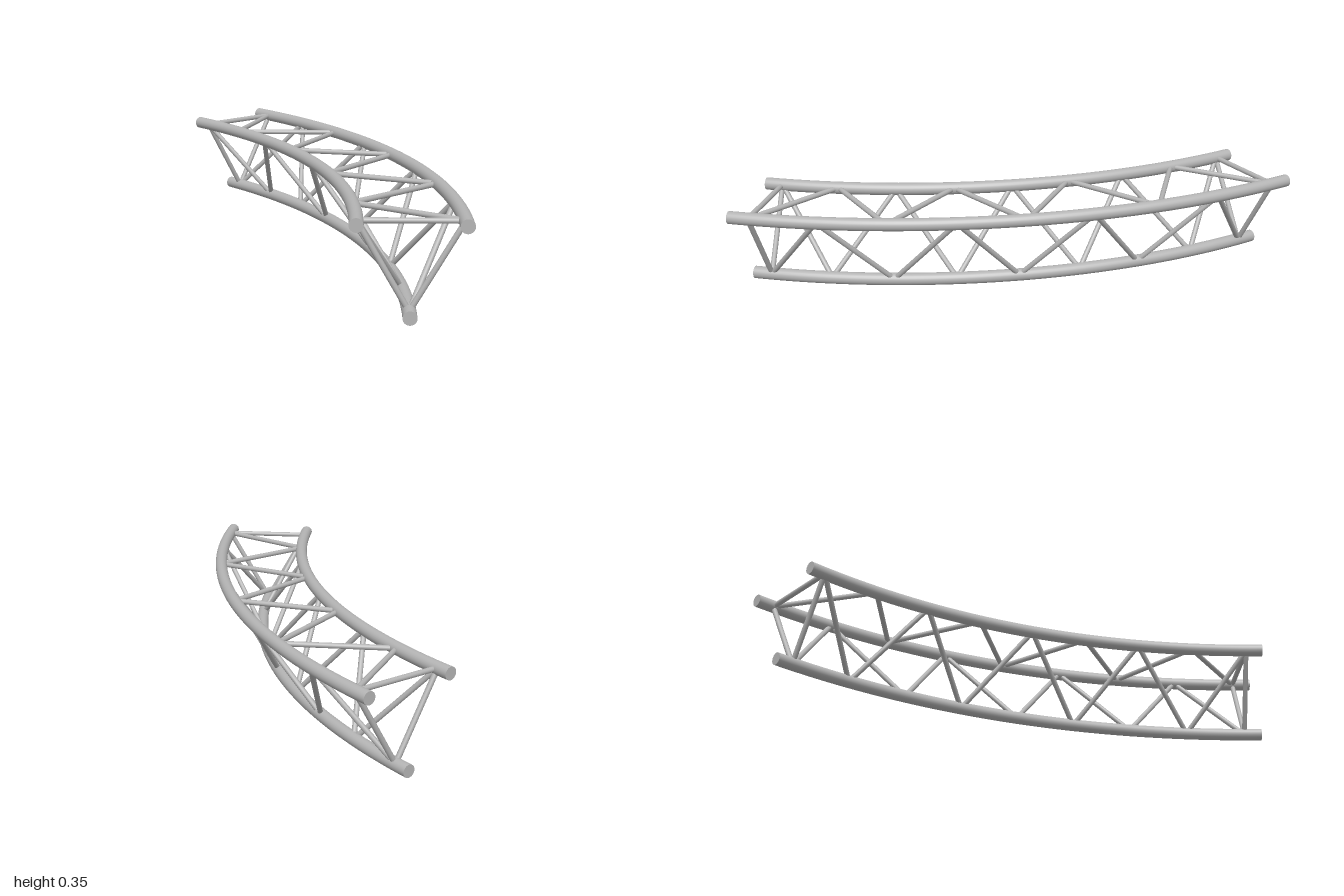
import * as THREE from 'three';

// Curved triangular truss: three concentric 45 degree chords joined by zigzag braces
export function createModel() {
  const model = new THREE.Group();
  model.name = 'curvedTruss';
  const metal = new THREE.MeshStandardMaterial({ color: 0xb4b4b4 });
  metal.name = 'metal grey';

  const centre = new THREE.Vector3(-2.274, 0, 1);
  const sweep = Math.PI / 4;
  const chordRadius = 0.024, braceRadius = 0.01;
  const chords = {
    inner: { R: 2.457, y: 0.328 },
    outer: { R: 2.804, y: 0.328 },
    lower: { R: 2.63, y: 0.025 },
  };

  const add = (geometry, name, parent = model) => {
    const mesh = new THREE.Mesh(geometry, metal);
    mesh.name = name;
    parent.add(mesh);
    return mesh;
  };

  // Chord tubes with flat end caps
  for (const [name, { R, y }] of Object.entries(chords)) {
    const chord = new THREE.Group();
    chord.name = name + 'Chord';
    chord.position.set(centre.x, y, centre.z);
    add(new THREE.TorusGeometry(R, chordRadius, 24, 48, sweep).rotateX(-Math.PI / 2), 'chordTube', chord);
    add(new THREE.CircleGeometry(chordRadius, 24).translate(R, 0, 0), 'frontCap', chord);
    add(new THREE.CircleGeometry(chordRadius, 24).rotateY(Math.PI).translate(R, 0, 0).rotateY(sweep), 'backCap', chord);
    model.add(chord);
  }

  // Node on a chord: nine evenly spaced stations along the bend
  const steps = 8;
  const node = (chord, i) => {
    const a = THREE.MathUtils.degToRad(1.5 + (42 * i) / steps);
    const { R, y } = chords[chord];
    return new THREE.Vector3(centre.x + R * Math.cos(a), y, centre.z - R * Math.sin(a));
  };

  const up = new THREE.Vector3(0, 1, 0);
  const brace = (from, to, name) => {
    const dir = to.clone().sub(from);
    const mesh = add(new THREE.CylinderGeometry(braceRadius, braceRadius, dir.length(), 12), name);
    mesh.position.copy(from).lerp(to, 0.5);
    mesh.quaternion.setFromUnitVectors(up, dir.normalize());
  };

  // Each face: a straight bar at both ends and a zigzag starting on the first chord
  for (const pair of [['outer', 'inner'], ['lower', 'outer'], ['inner', 'lower']]) {
    const label = pair[0] + 'To' + pair[1][0].toUpperCase() + pair[1].slice(1);
    for (const i of [0, steps]) brace(node(pair[0], i), node(pair[1], i), label + 'EndBar');
    for (let i = 0; i < steps; i++) {
      brace(node(pair[i % 2], i), node(pair[(i + 1) % 2], i + 1), label + 'Diagonal');
    }
  }
  return model;
}
